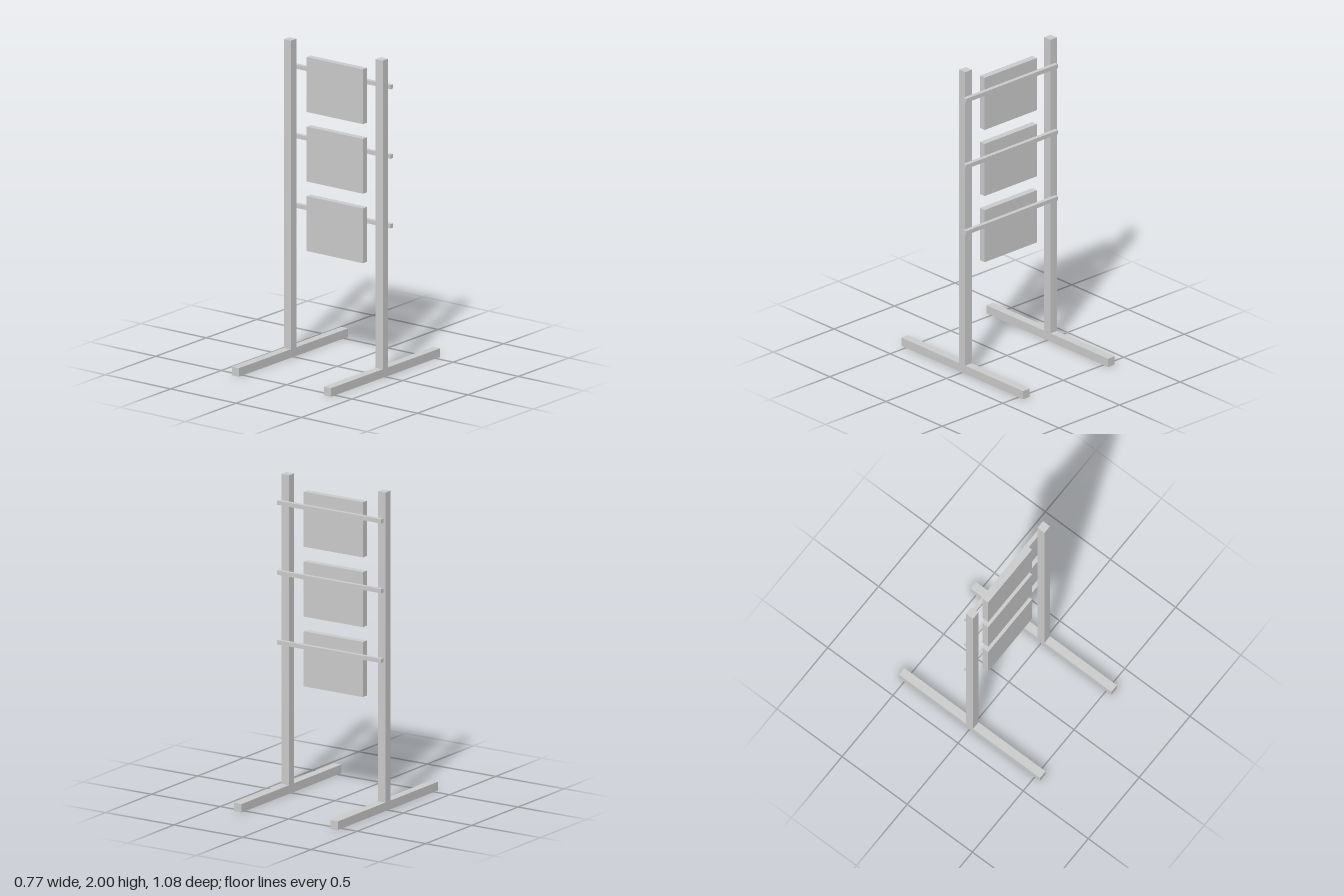
import * as THREE from 'three';

const material = new THREE.MeshStandardMaterial({ color: 0xcccccc, flatShading: true });

export function createModel() {
  const model = new THREE.Group();
  model.name = 'displayStand';

  // Box given by its extents along each axis
  const addBox = (name, [x0, x1], [y0, y1], [z0, z1]) => {
    const mesh = new THREE.Mesh(new THREE.BoxGeometry(x1 - x0, y1 - y0, z1 - z0), material);
    mesh.position.set((x0 + x1) / 2, (y0 + y1) / 2, (z0 + z1) / 2);
    mesh.name = name;
    model.add(mesh);
  };

  const bar = 0.054; // square section of posts and feet
  const half = bar / 2;

  // Two uprights, each standing on a long foot
  for (const [side, x] of [['right', -0.36], ['left', 0.343]]) {
    const span = [x - half, x + half];
    addBox(side + 'Foot', span, [0, bar], [-0.541, 0.541]);
    addBox(side + 'Post', span, [bar, 2], [-half, half]);
  }

  // Three thin rails behind the posts, each carrying a panel on its front
  for (let i = 0; i < 3; i++) {
    const y = 0.946 + i * 0.4385;
    addBox('rail' + (i + 1), [-0.373, 0.387], [y - 0.013, y + 0.013], [-half - 0.026, -half]);
    addBox('panel' + (i + 1), [-0.223, 0.209], [y - 0.255, y + 0.091], [-half, 0.015]);
  }

  return model;
}
